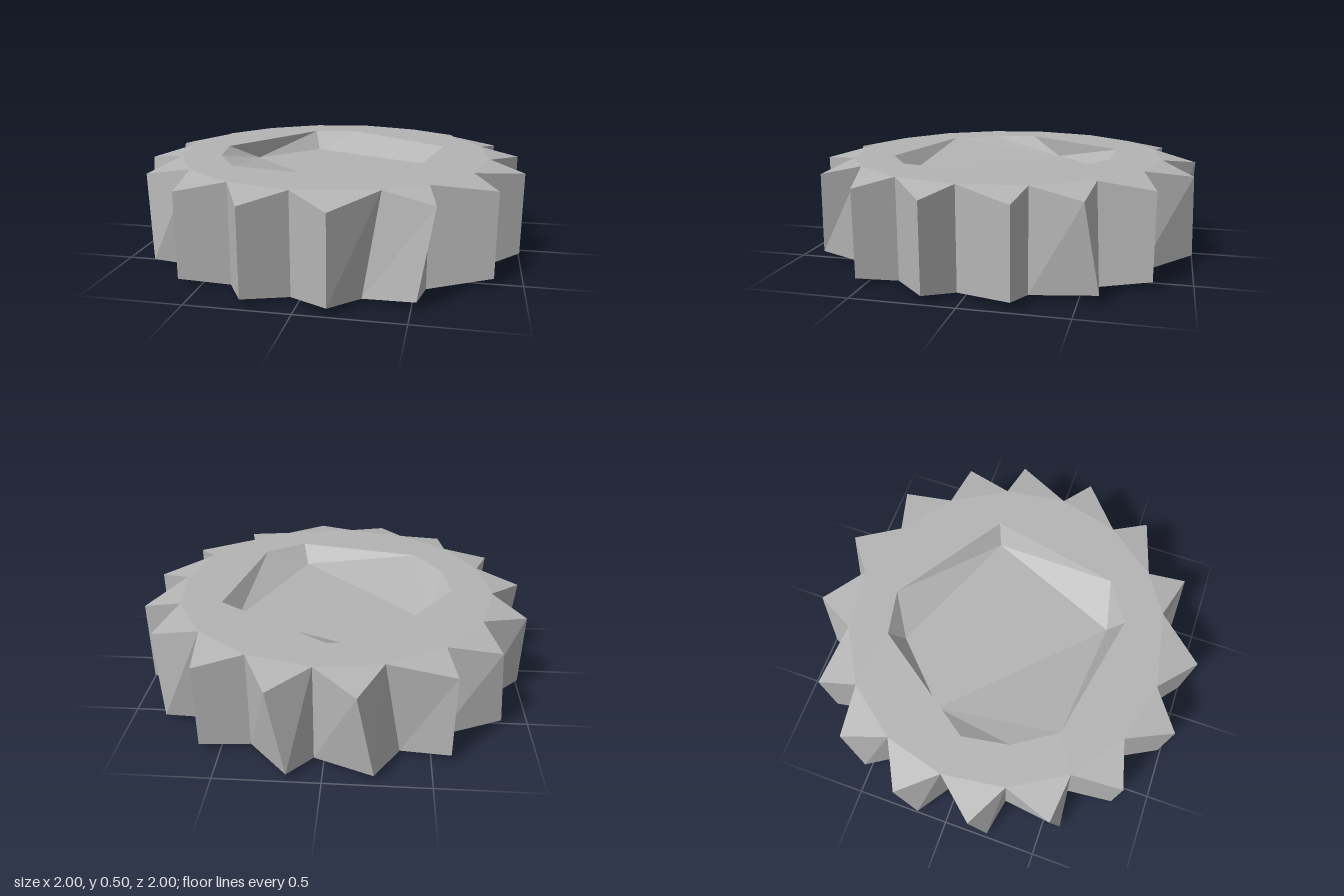
import * as THREE from 'three';

const TOP = 0.505, STEP = 22.5, N = 16;
const polar = (deg, r, y) => {
  const a = THREE.MathUtils.degToRad(deg);
  return [r * Math.cos(a), y, r * Math.sin(a)];
};

function meshFrom(name, tris, material) {
  const g = new THREE.BufferGeometry();
  g.setAttribute('position', new THREE.Float32BufferAttribute(tris.flat(2), 3));
  g.computeVertexNormals(); // unshared corners keep every facet flat
  const m = new THREE.Mesh(g, material);
  m.name = name;
  return m;
}

// Flat ring between the tooth roots and the recess rim
function facePlate(name, outer, rim, y, up, material) {
  const s = up ? -1 : 1;
  const to2 = p => new THREE.Vector2(p[0], s * p[2]);
  const shape = new THREE.Shape(outer.map(to2));
  shape.holes.push(new THREE.Path(rim.map(to2)));
  const g = new THREE.ShapeGeometry(shape);
  g.rotateX(s * Math.PI / 2);
  g.translate(0, y, 0);
  const m = new THREE.Mesh(g, material);
  m.name = name;
  return m;
}

// Faceted dish: each rim edge is joined to one floor corner, gaps are filled
function recess(name, rim, floor, links, up, material) {
  const tris = [];
  const add = (a, b, c) => tris.push(up ? [a, b, c] : [a, c, b]);
  rim.forEach((p, k) => {
    const next = (k + 1) % rim.length;
    add(rim[next], p, floor[links[k]]);
    if (links[k] !== links[next]) add(rim[next], floor[links[k]], floor[links[next]]);
  });
  for (let i = 1; i < floor.length - 1; i++) add(floor[0], floor[i + 1], floor[i]);
  return meshFrom(name, tris, material);
}

export function createModel() {
  const group = new THREE.Group();
  const stone = new THREE.MeshStandardMaterial({ color: 0xb4b4b4, flatShading: true });
  stone.name = 'plain grey';

  // Tooth roots and tips; some tips lean because top and bottom differ
  const leanTop = [3, 4, 5, 6, 7, 8, 9, 11, 12, 13, 14];
  const leanBottom = [2, 3, 4, 5, 13];
  const rootT = [], rootB = [], tipT = [], tipB = [];
  for (let k = 0; k < N; k++) {
    const root = 3.4 + STEP * k, tip = 9.1 + STEP * k;
    rootT.push(polar(root - (k === 3 ? 5.8 : 0), 0.828, TOP));
    rootB.push(polar(root - (k === 11 ? 6.2 : 0), 0.828, 0));
    tipT.push(polar(tip + (leanTop.includes(k) ? 4.7 : 0), 1.01, 0.465));
    tipB.push(polar(tip + (leanBottom.includes(k) ? 4.7 : 0), 1.01, 0.04));
  }

  // Teeth: bevels above and below, two flanks each
  const teeth = [];
  const quad = (a, b, c, d) => teeth.push([a, b, c], [a, c, d]);
  for (let k = 0; k < N; k++) {
    const n = (k + 1) % N;
    teeth.push([rootT[n], tipT[k], rootT[k]], [rootB[k], tipB[k], rootB[n]]);
    quad(rootT[k], tipT[k], tipB[k], rootB[k]);
    quad(tipT[k], rootT[n], rootB[n], tipB[k]);
  }
  group.add(meshFrom('gearTeeth', teeth, stone));

  // Upper face and its dish
  const rimT = [-22.8, 45, 68, 135, 159, 182, 247.5, 270].map(a => polar(a, 0.62, TOP));
  const floorT = [-22.8, 67.8, 201.8, 248].map(a => polar(a, 0.54, TOP - 0.1));
  group.add(facePlate('upperFace', rootT, rimT, TOP, true, stone));
  group.add(recess('upperRecess', rimT, floorT, [0, 1, 1, 2, 2, 2, 3, 0], true, stone));

  // Lower face and its dish
  const rimB = [22.8, 45, 90, 135, 157.5, 225, 248, 293, 315].map(a => polar(a, 0.62, 0));
  const floorB = [21.8, 135, 225, 292].map(a => polar(a, 0.54, 0.1));
  group.add(facePlate('lowerFace', rootB, rimB, 0, false, stone));
  group.add(recess('lowerRecess', rimB, floorB, [0, 0, 1, 1, 1, 2, 2, 3, 0], false, stone));

  return group;
}
